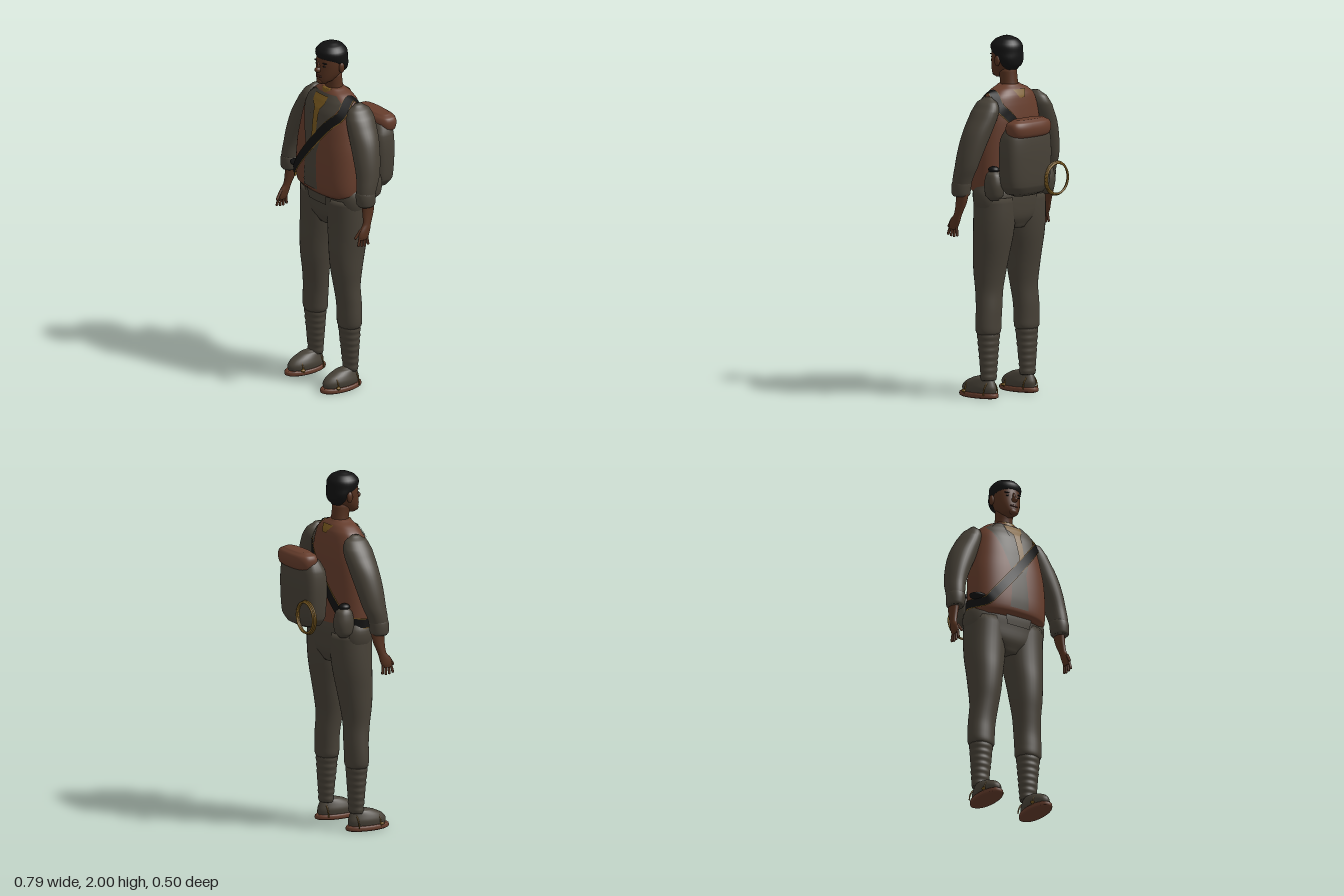
import * as THREE from 'three';

const mat = (name, color, side = THREE.FrontSide) => {
  const m = new THREE.MeshStandardMaterial({ color, side });
  m.name = name;
  return m;
};

// Smoothly interpolated ring [y, cx, cz, rx, rz] at height y
function ringAt(rings, y) {
  const last = rings.length - 1;
  let i = 0;
  while (i < last - 1 && y > rings[i + 1][0]) i++;
  const b = rings[i], c = rings[i + 1];
  const a = rings[Math.max(0, i - 1)], d = rings[Math.min(last, i + 2)];
  const t = (y - b[0]) / (c[0] - b[0]);
  return b.map((v, k) => k === 0 ? y : v + 0.5 * t * (c[k] - a[k]
    + t * (2 * a[k] - 5 * v + 4 * c[k] - d[k] + t * (3 * (v - c[k]) + d[k] - a[k]))));
}

function geometry(pos, idx) {
  const g = new THREE.BufferGeometry();
  g.setAttribute('position', new THREE.Float32BufferAttribute(pos, 3));
  g.setIndex(idx);
  g.computeVertexNormals();
  return g;
}

// Closed body from horizontal superellipse rings listed bottom to top
function loft(rings, side = 1, n = 2, seg = 32, sub = 4) {
  const pos = [], idx = [], rows = (rings.length - 1) * sub;
  for (let j = 0; j <= rows; j++) {
    const k = Math.min(Math.floor(j / sub), rings.length - 2), f = j / sub - k;
    const [y, cx, cz, rx, rz] = ringAt(rings, rings[k][0] + f * (rings[k + 1][0] - rings[k][0]));
    for (let i = 0; i < seg; i++) {
      const a = i / seg * Math.PI * 2, s = Math.sin(a), c = Math.cos(a);
      pos.push(side * cx + rx * Math.sign(s) * Math.abs(s) ** (2 / n), y,
        cz + rz * Math.sign(c) * Math.abs(c) ** (2 / n));
      if (j < rows) {
        const p = j * seg + i, q = j * seg + (i + 1) % seg;
        idx.push(p, q, p + seg, q, q + seg, p + seg);
      }
    }
  }
  const lo = rings[0], hi = rings[rings.length - 1], e = (rows + 1) * seg;
  pos.push(side * lo[1], lo[0], lo[2], side * hi[1], hi[0], hi[2]);
  for (let i = 0; i < seg; i++) {
    const q = (i + 1) % seg;
    idx.push(e, q, i, e + 1, rows * seg + i, rows * seg + q);
  }
  return geometry(pos, idx);
}

// Height-field depth of a lofted body's front (sign 1) or back (sign -1)
function depth(rings, n, x, y, sign, off) {
  const [, cx, cz, rx, rz] = ringAt(rings, y);
  const u = Math.min(0.97, Math.abs(x - cx) / rx);
  return cz + sign * (rz * (1 - u ** n) ** (1 / n) + off);
}

// Thin cloth lying on a body; edges are [y, xMin, xMax] from top to bottom
function drape(rings, n, edges, off, sign = 1) {
  const pos = [], idx = [], cols = 16, sub = 6, rows = (edges.length - 1) * sub;
  for (let j = 0; j <= rows; j++) {
    const k = Math.min(Math.floor(j / sub), edges.length - 2), f = j / sub - k;
    const [y, l, r] = edges[k].map((v, m) => v + f * (edges[k + 1][m] - v));
    for (let i = 0; i <= cols; i++) {
      const x = l + (r - l) * i / cols;
      pos.push(x, y, depth(rings, n, x, y, sign, off));
      if (j < rows && i < cols) {
        const p = j * (cols + 1) + i, q = p + cols + 1;
        if (sign > 0) idx.push(p, q, p + 1, p + 1, q, q + 1);
        else idx.push(p, p + 1, q, p + 1, q + 1, q);
      }
    }
  }
  return geometry(pos, idx);
}

const torso = [[1.13, 0, .055, .215, .115], [1.16, 0, .062, .23, .135], [1.25, 0, .065, .233, .137],
  [1.4, 0, .06, .226, .133], [1.53, 0, .05, .205, .125], [1.62, 0, .045, .185, .11],
  [1.675, 0, .037, .16, .09], [1.71, 0, .037, .115, .07], [1.735, 0, .04, .06, .05]];
const hips = [[.94, 0, .035, .08, .08], [1.0, 0, .035, .2, .108], [1.07, 0, .036, .242, .117],
  [1.14, 0, .04, .248, .121], [1.2, 0, .045, .225, .11]];

// Flat strap looping over the left shoulder and around the right hip
function strap(half, off) {
  const pts = [];
  for (let i = 0; i <= 9; i++) {
    const x = .165 - .355 * i / 9, y = 1.62 - .43 * i / 9;
    pts.push(new THREE.Vector3(x, y, depth(torso, 2.4, x, y, 1, off)));
  }
  pts.push(new THREE.Vector3(-.234 - off, 1.185, .06));
  for (let i = 9; i >= 0; i--) {
    const x = .155 - .345 * i / 9, y = 1.62 - .42 * i / 9;
    pts.push(new THREE.Vector3(x, y, depth(torso, 2.4, x, y, -1, off)));
  }
  pts.push(new THREE.Vector3(.15, 1.69 + off, .035));
  const curve = new THREE.CatmullRomCurve3(pts, true), N = 120, pos = [], idx = [];
  for (let i = 0; i < N; i++) {
    const p = curve.getPointAt(i / N), t = curve.getTangentAt(i / N);
    const [, , cz, rx, rz] = ringAt(torso, Math.min(p.y, 1.68));
    const out = new THREE.Vector3(p.x / rx ** 2, 0, (p.z - cz) / rz ** 2).normalize()
      .lerp(new THREE.Vector3(.3, 1, 0), THREE.MathUtils.smoothstep(p.y, 1.58, 1.69));
    const w = t.cross(out).normalize().multiplyScalar(half);
    pos.push(p.x - w.x, p.y - w.y, p.z - w.z, p.x + w.x, p.y + w.y, p.z + w.z);
    const a = i * 2, b = (i + 1) % N * 2;
    idx.push(a, a + 1, b, a + 1, b + 1, b);
  }
  return geometry(pos, idx);
}

export function createModel() {
  const root = new THREE.Group();
  const cloth = mat('olive grey cloth', 0x474137), rust = mat('rust brown', 0x663d2c);
  const skin = mat('brown skin', 0x54311f), lip = mat('dark lips', 0x402018);
  const black = mat('black', 0x121212, THREE.DoubleSide), gold = mat('old gold', 0x78581f, THREE.DoubleSide);
  const add = (name, geo, m) => {
    const mesh = new THREE.Mesh(geo, m);
    mesh.name = name;
    root.add(mesh);
    return mesh;
  };
  const ball = (name, m, p, s) => {
    const b = add(name, new THREE.SphereGeometry(1, 20, 14), m);
    b.position.set(...p);
    b.scale.set(...s);
    return b;
  };
  const digit = (name, a, b, r) => {
    const p = new THREE.Vector3(...a), q = new THREE.Vector3(...b), d = q.clone().sub(p);
    const c = add(name, new THREE.CapsuleGeometry(r, d.length(), 4, 8), skin);
    c.position.copy(p).lerp(q, .5);
    c.quaternion.setFromUnitVectors(new THREE.Vector3(0, 1, 0), d.normalize());
  };

  // Head and face
  add('head', loft([[1.765, 0, .112, .018, .022], [1.785, 0, .1, .045, .047], [1.82, 0, .077, .065, .071],
    [1.86, 0, .062, .077, .083], [1.9, 0, .058, .08, .084], [1.94, 0, .056, .074, .076],
    [1.98, 0, .055, .035, .035]]), skin);
  add('hair', loft([[1.815, 0, .022, .04, .03], [1.84, 0, .02, .066, .048], [1.875, 0, .026, .083, .06],
    [1.91, 0, .05, .088, .084], [1.95, 0, .057, .087, .088], [1.98, 0, .056, .062, .064],
    [1.995, 0, .055, .03, .03], [2.0, 0, .055, .008, .008]]), black);
  add('neck', loft([[1.68, 0, .035, .06, .056], [1.74, 0, .038, .05, .048], [1.82, 0, .05, .05, .052]]), skin);
  ball('nose', skin, [0, 1.852, .148], [.017, .016, .022]);
  ball('noseBridge', skin, [0, 1.872, .142], [.009, .024, .012]);
  ball('lips', lip, [0, 1.815, .143], [.025, .008, .01]);
  ball('chin', skin, [0, 1.785, .135], [.025, .018, .017]);
  for (const s of [1, -1]) {
    ball('ear', skin, [s * .085, 1.866, .05], [.012, .03, .018]);
    ball('eye', black, [s * .032, 1.876, .132], [.012, .005, .007]);
    ball('eyebrow', black, [s * .034, 1.894, .131], [.02, .004, .008]);
  }

  // Vest, jacket front and scarf
  add('vest', loft(torso, 1, 2.4, 56), rust);
  add('jacketFront', drape(torso, 2.4, [[1.71, -.09, .09], [1.67, -.15, .15], [1.55, -.1, .1], [1.45, -.065, .065],
    [1.38, -.045, .045], [1.17, -.06, .06]], .004), cloth);
  for (const s of [1, -1]) {
    const lapel = [[1.71, .055, .085], [1.66, .05, .14], [1.55, .03, .095], [1.4, .004, .04]];
    add('lapel', drape(torso, 2.4, lapel.map(([y, a, b]) => s > 0 ? [y, a, b] : [y, -b, -a]), .009), cloth);
  }
  add('jacketHem', drape(hips, 2.4, [[1.19, -.07, .1], [1.15, -.07, .1], [1.08, -.06, .09]], .012), cloth);
  add('scarfCollar', loft([[1.675, 0, .04, .07, .062], [1.7, 0, .042, .068, .066], [1.73, 0, .044, .058, .058],
    [1.735, 0, .044, .05, .05]]), gold);
  add('scarfFront', drape(torso, 2.4, [[1.7, -.055, .055], [1.66, -.05, .05], [1.63, -.015, .03], [1.5, .0, .035],
    [1.41, .0, .015]], .012), gold);
  add('scarfBack', drape(torso, 2.4, [[1.71, -.05, .05], [1.665, -.015, .02]], .006, -1), gold);
  add('strapTrim', strap(.028, .012), gold);
  add('strap', strap(.024, .015), black);
  ball('holster', black, [-.222, 1.222, .12], [.05, .017, .04]);

  // Trousers
  add('trouserSeat', loft(hips, 1, 2.4, 48), cloth);
  for (const s of [1, -1]) {
    add('trouserLeg', loft([[.345, .155, .05, .055, .05], [.37, .155, .05, .077, .062], [.42, .155, .05, .08, .064],
      [.5, .15, .05, .08, .066], [.6, .141, .057, .083, .072], [.7, .136, .057, .094, .087], [.8, .132, .05, .103, .1],
      [.9, .127, .04, .115, .108], [1.0, .123, .035, .12, .113], [1.12, .12, .036, .12, .115]], s), cloth);

    // Wrapped shin with stacked bands
    const bands = [];
    for (let i = 0; i <= 14; i++) {
      const t = i / 14, bump = i % 2 ? .003 : 0;
      bands.push([.1 + .26 * t, .158 - .003 * t, .045 + .005 * t, .047 + .02 * t + bump, .035 + .022 * t + bump]);
    }
    add('shinWrap', loft(bands, s), cloth);

    // Shoe, sole and cords
    add('shoe', loft([[.02, .16, .113, .052, .112], [.055, .16, .113, .058, .117], [.085, .16, .105, .05, .1],
      [.11, .16, .085, .038, .068], [.122, .16, .075, .02, .035]], s), cloth);
    add('sole', loft([[0, .162, .115, .056, .12], [.006, .162, .115, .064, .133], [.024, .162, .115, .064, .133],
      [.03, .162, .115, .058, .125]], s), rust);
    for (const [z, h] of [[.03, .075], [.17, .075]]) {
      const cord = add('shoeCord', new THREE.TorusGeometry(1, .07, 6, 24, Math.PI), gold);
      cord.position.set(s * .161, .02, z);
      cord.scale.set(.058, h, .05);
    }
    for (const e of [1, -1]) ball('cordKnot', gold, [s * .161 + e * .06, .035, .175], [.01, .008, .014]);

    // Sleeve and cuff
    add('sleeve', loft([[1.17, .343, .08, .045, .05], [1.22, .341, .075, .052, .056], [1.3, .33, .055, .058, .068],
      [1.4, .302, .042, .069, .078], [1.5, .262, .03, .077, .084], [1.6, .216, .02, .066, .085],
      [1.65, .2, .018, .044, .066], [1.68, .193, .018, .014, .025]], s), cloth);
    add('cuff', loft([[1.14, .345, .08, .04, .044], [1.15, .345, .08, .049, .052], [1.185, .343, .08, .053, .056],
      [1.215, .341, .078, .052, .056], [1.225, .34, .077, .046, .05]], s), cloth);

    // Forearm and hand
    add('forearm', loft([[.955, .369, .117, .009, .026], [.975, .368, .113, .014, .034], [1.005, .366, .103, .016, .034],
      [1.04, .362, .086, .017, .026], [1.1, .353, .072, .022, .035], [1.17, .346, .068, .028, .042]], s), skin);
    for (let i = 0; i < 4; i++)
      digit('finger', [s * .368, .965, .09 + i * .017], [s * .371, .917 + Math.abs(i - 1.3) * .006, .085 + i * .022], .0075);
    digit('thumb', [s * .362, 1.01, .13], [s * .356, .968, .16], .008);
  }

  // Backpack, bedroll and coil
  add('backpack', loft([[1.14, .075, -.145, .08, .035], [1.155, .075, -.147, .125, .06], [1.2, .075, -.15, .16, .08],
    [1.35, .075, -.15, .172, .087], [1.46, .075, -.152, .166, .082], [1.52, .075, -.16, .14, .06],
    [1.54, .075, -.165, .1, .035]], 1, 2.8, 48), cloth);
  add('bedroll', loft([[1.465, .083, -.185, .115, .04], [1.483, .083, -.184, .144, .06], [1.52, .083, -.182, .154, .069],
    [1.552, .083, -.182, .146, .06], [1.57, .083, -.182, .11, .036]], 1, 2.8, 48), rust);
  for (let i = 0; i < 3; i++) {
    const coil = add('ropeCoil', new THREE.TorusGeometry(.091 - .003 * i, .006, 8, 48), gold);
    coil.position.set(-.092 + .002 * i, 1.223, -.23 - .006 * i);
  }

  // Hip pouches with dark flaps
  for (const [x, y] of [[.22, 1.2], [-.19, 1.195]]) {
    add('pouch', loft([[y - .085, x, -.055, .022, .022], [y - .06, x, -.055, .046, .046], [y, x, -.055, .053, .056],
      [y + .06, x, -.053, .042, .044], [y + .085, x, -.05, .02, .02]], 1, 2.3), cloth);
    ball('pouchFlap', black, [x, y + .085, -.05], [.03, .02, .032]);
  }
  return root;
}
